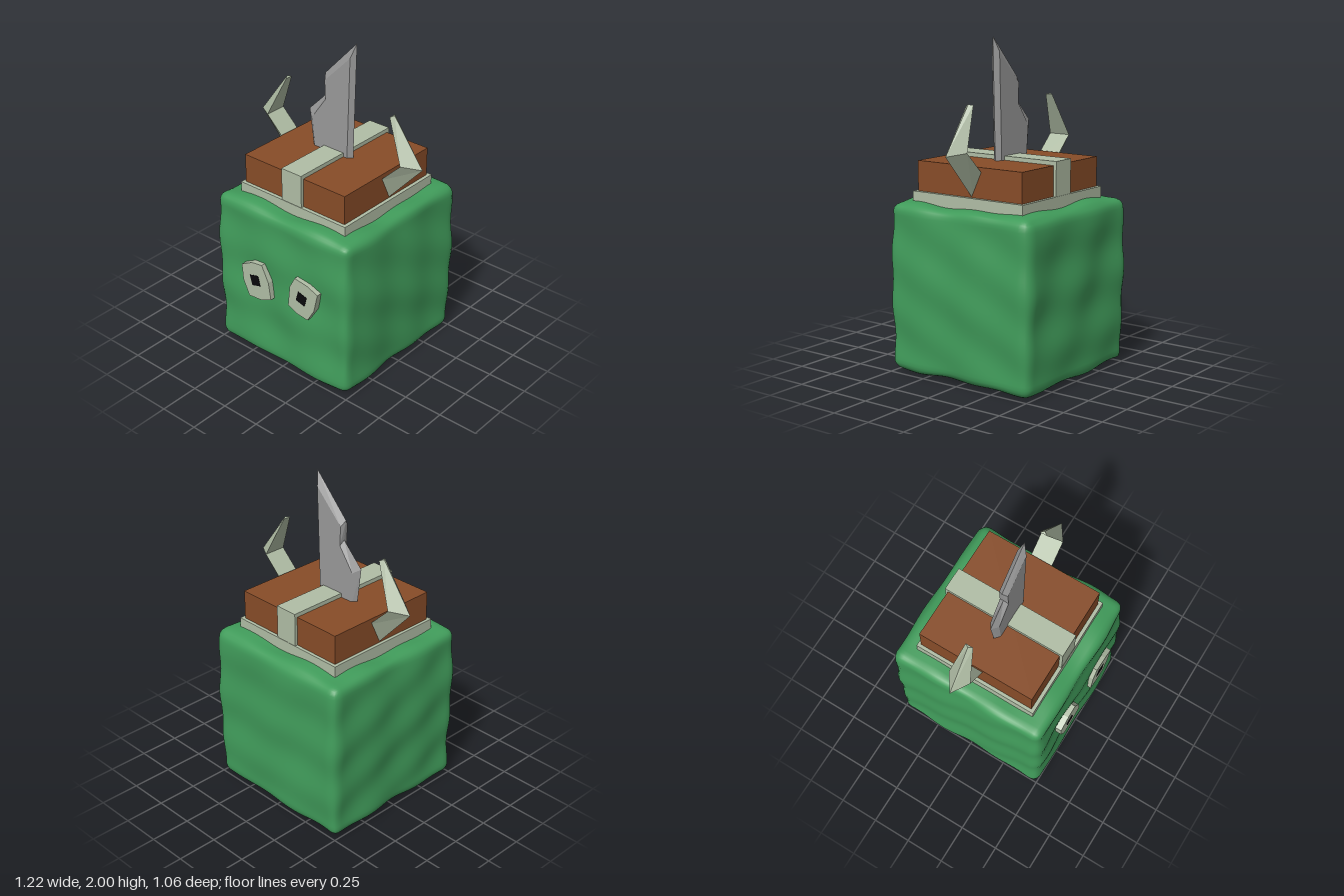
import * as THREE from 'three';
import { mergeVertices } from 'three/addons/utils/BufferGeometryUtils.js';

const material = (color, flatShading = true) =>
  new THREE.MeshStandardMaterial({ color, flatShading });
const green = material(0x409b5a, false);
const bone = material(0xb0bda5);
const brown = material(0x874c28);
const steel = material(0x999999);
const black = material(0x0a0a0c);

function add(parent, name, geometry, mat) {
  const mesh = new THREE.Mesh(geometry, mat);
  mesh.name = name;
  parent.add(mesh);
  return mesh;
}

// Box given by its limits on each axis
function addBox(parent, name, mat, [x0, x1], [y0, y1], [z0, z1]) {
  const mesh = add(parent, name, new THREE.BoxGeometry(x1 - x0, y1 - y0, z1 - z0), mat);
  mesh.position.set((x0 + x1) / 2, (y0 + y1) / 2, (z0 + z1) / 2);
}

// Soft cube: rounded edges plus gentle lumps, welded for smooth normals
function lumpyCube(half, radius) {
  let geo = new THREE.BoxGeometry(2 * half, 2 * half, 2 * half, 44, 44, 44);
  geo.deleteAttribute('uv');
  geo.deleteAttribute('normal');
  geo = mergeVertices(geo);
  const pos = geo.attributes.position;
  const p = new THREE.Vector3(), core = new THREE.Vector3(), n = new THREE.Vector3();
  const inner = half - radius;
  for (let i = 0; i < pos.count; i++) {
    p.fromBufferAttribute(pos, i);
    core.copy(p).clampScalar(-inner, inner);
    n.copy(p).sub(core).normalize();
    const lump = 0.006 * Math.sin(13 * p.x + 7 * p.y + 1) + 0.005 * Math.sin(19 * p.y - 9 * p.z + 2)
      + 0.005 * Math.sin(17 * p.z + 11 * p.x + 4);
    p.copy(core).addScaledVector(n, radius + lump);
    pos.setXYZ(i, p.x, p.y, p.z);
  }
  geo.computeVertexNormals();
  return geo;
}

// Skin a list of equal-sized rings and cap both ends with fans
function loft(rings) {
  const n = rings[0].length, index = [];
  for (let r = 0; r < rings.length - 1; r++)
    for (let i = 0; i < n; i++) {
      const a = r * n + i, b = r * n + (i + 1) % n;
      index.push(a, b, b + n, a, b + n, a + n);
    }
  const last = (rings.length - 1) * n;
  for (let i = 1; i < n - 1; i++) index.push(0, i + 1, i, last, last + i, last + i + 1);
  const geo = new THREE.BufferGeometry();
  geo.setAttribute('position', new THREE.Float32BufferAttribute(rings.flat(2), 3));
  geo.setIndex(index);
  const flat = geo.toNonIndexed();
  flat.computeVertexNormals();
  return flat;
}

// Bent horn with a triangular section: an outer ridge and a flat inner face
function hornGeometry(side) {
  const sections = [ // ridge x, ridge y, inner x, inner y, half width
    [0.36, 1.08, 0.36, 1.23, 0.07],
    [0.61, 1.355, 0.505, 1.37, 0.07],
    [0.405, 1.63, 0.388, 1.625, 0.024],
  ];
  const rings = sections.map(([rx, ry, ix, iy, w]) => {
    const ring = [[side * rx, ry, -0.024], [side * ix, iy, -0.024 - w], [side * ix, iy, -0.024 + w]];
    return side > 0 ? ring : ring.reverse();
  });
  return loft(rings);
}

// Broken blade: flat faces bevelled to a sharp outline
function bladeGeometry() {
  const edge = [[-0.17, 1.2], [0.123, 1.2], [0.147, 2], [-0.085, 1.755], [-0.07, 1.63], [-0.208, 1.49]];
  const face = [[-0.14, 1.2], [0.098, 1.2], [0.12, 1.91], [-0.068, 1.72], [-0.063, 1.6], [-0.163, 1.46]];
  const at = (pts, z) => pts.map(([x, y]) => new THREE.Vector3(x, y, z));
  const tris = THREE.ShapeUtils.triangulateShape(face.map(([x, y]) => new THREE.Vector2(x, y)), []);
  const rim = at(edge, -0.003), points = [];
  for (const s of [1, -1]) {
    const plate = at(face, -0.003 + s * 0.028);
    const tri = (a, b, c) => points.push(...(s > 0 ? [a, b, c] : [a, c, b]));
    for (const [a, b, c] of tris) tri(plate[a], plate[b], plate[c]);
    for (let i = 0; i < 6; i++) {
      const j = (i + 1) % 6;
      tri(rim[i], rim[j], plate[j]);
      tri(rim[i], plate[j], plate[i]);
    }
  }
  const geo = new THREE.BufferGeometry().setFromPoints(points);
  geo.computeVertexNormals();
  return geo;
}

// Flat plate cut from an outline, from depth z0 to z1
function plate(outline, z0, z1) {
  const shape = new THREE.Shape(outline.map(([x, y]) => new THREE.Vector2(x, y)));
  return new THREE.ExtrudeGeometry(shape, { depth: z1 - z0, bevelEnabled: false }).translate(0, 0, z0);
}

export function createModel() {
  const model = new THREE.Group();
  model.name = 'hornedCube';

  const body = add(model, 'body', lumpyCube(0.508, 0.06), green);
  body.position.set(-0.003, 0.523, -0.005);

  // Eyes with tilted pupils
  const eyes = [
    ['rightEye', [[-0.283, 0.635], [-0.2, 0.68], [-0.12, 0.692], [-0.07, 0.59], [-0.053, 0.477],
      [-0.13, 0.443], [-0.23, 0.435], [-0.275, 0.53]], [-0.177, 0.563], 0.27],
    ['leftEye', [[0.085, 0.505], [0.15, 0.475], [0.235, 0.465], [0.285, 0.55], [0.313, 0.67],
      [0.24, 0.7], [0.14, 0.715], [0.1, 0.64]], [0.19, 0.594], -0.27],
  ];
  for (const [name, outline, [px, py], tilt] of eyes) {
    add(model, name, plate(outline, 0.46, 0.533), bone);
    const pupil = add(model, name + 'Pupil', new THREE.BoxGeometry(0.068, 0.068, 0.02), black);
    pupil.position.set(px, py, 0.525);
    pupil.rotation.z = tilt;
  }

  // Helmet: rim, leather block and centre band
  const helmet = new THREE.Group();
  helmet.name = 'helmet';
  model.add(helmet);
  addBox(helmet, 'rim', bone, [-0.4, 0.4], [0.99, 1.095], [-0.4, 0.395]);
  addBox(helmet, 'crown', brown, [-0.38, 0.378], [1.05, 1.275], [-0.38, 0.373]);
  addBox(helmet, 'centreBand', bone, [-0.075, 0.073], [0.995, 1.3], [-0.398, 0.393]);

  add(helmet, 'leftHorn', hornGeometry(1), bone);
  add(helmet, 'rightHorn', hornGeometry(-1), bone);
  add(model, 'brokenBlade', bladeGeometry(), steel);
  return model;
}
